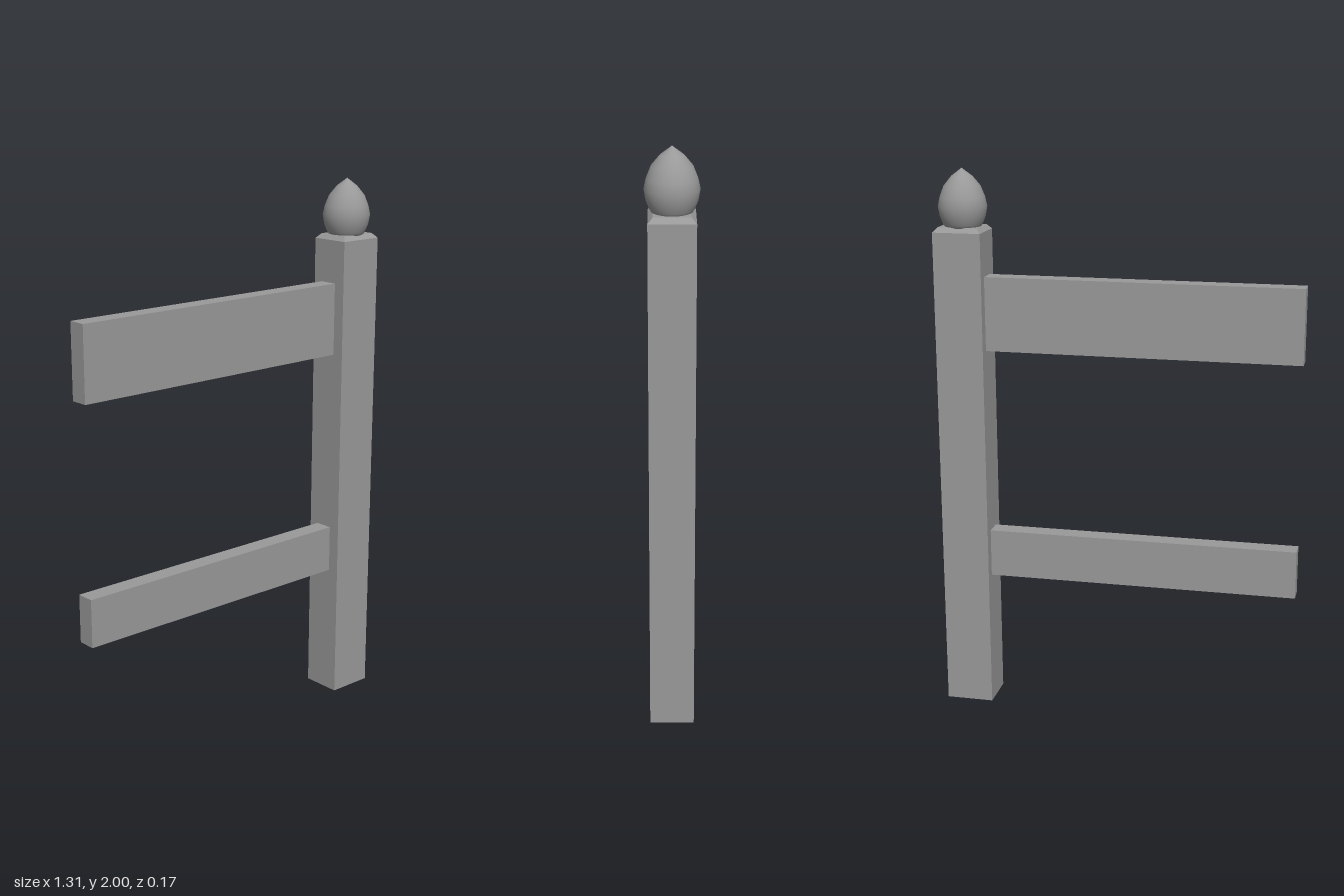
import * as THREE from 'three';

export function createModel() {
  const group = new THREE.Group();
  const flat = new THREE.MeshStandardMaterial({ color: 0x999999, flatShading: true });
  const smooth = new THREE.MeshStandardMaterial({ color: 0x999999 });
  const postX = 0.566, postW = 0.174, postD = 0.15;

  function add(name, geometry, x, y, z, material = flat) {
    const mesh = new THREE.Mesh(geometry, material);
    mesh.name = name;
    mesh.position.set(x, y, z);
    group.add(mesh);
  }

  // Square post
  const postH = 1.781;
  add('post', new THREE.BoxGeometry(postW, postH, postD), postX, postH / 2, 0);

  // Bevelled cap: a box whose upper corners are drawn inwards
  const capH = 0.017, inset = 0.016;
  const cap = new THREE.BoxGeometry(postW, capH, postD);
  const p = cap.attributes.position;
  for (let i = 0; i < p.count; i++) {
    if (p.getY(i) > 0) {
      p.setX(i, p.getX(i) - Math.sign(p.getX(i)) * inset);
      p.setZ(i, p.getZ(i) - Math.sign(p.getZ(i)) * inset);
    }
  }
  cap.computeVertexNormals();
  add('postCap', cap, postX, postH + capH / 2, 0);

  // Pointed egg-shaped finial
  const profile = [
    [0, 1.792], [0.062, 1.794], [0.07, 1.806], [0.081, 1.833], [0.087, 1.868],
    [0.08, 1.9], [0.065, 1.938], [0.037, 1.972], [0, 2.0],
  ].map(([r, y]) => new THREE.Vector2(r, y));
  add('finial', new THREE.LatheGeometry(profile, 32), 0.562, 0, 0, smooth);

  // Horizontal rails, let slightly into the post
  const x0 = -0.655, x1 = 0.5;
  for (const [name, y0, y1] of [['upperRail', 1.357, 1.624], ['lowerRail', 0.5, 0.676]]) {
    add(name, new THREE.BoxGeometry(x1 - x0, y1 - y0, 0.068), (x0 + x1) / 2, (y0 + y1) / 2, -0.003);
  }
  return group;
}
